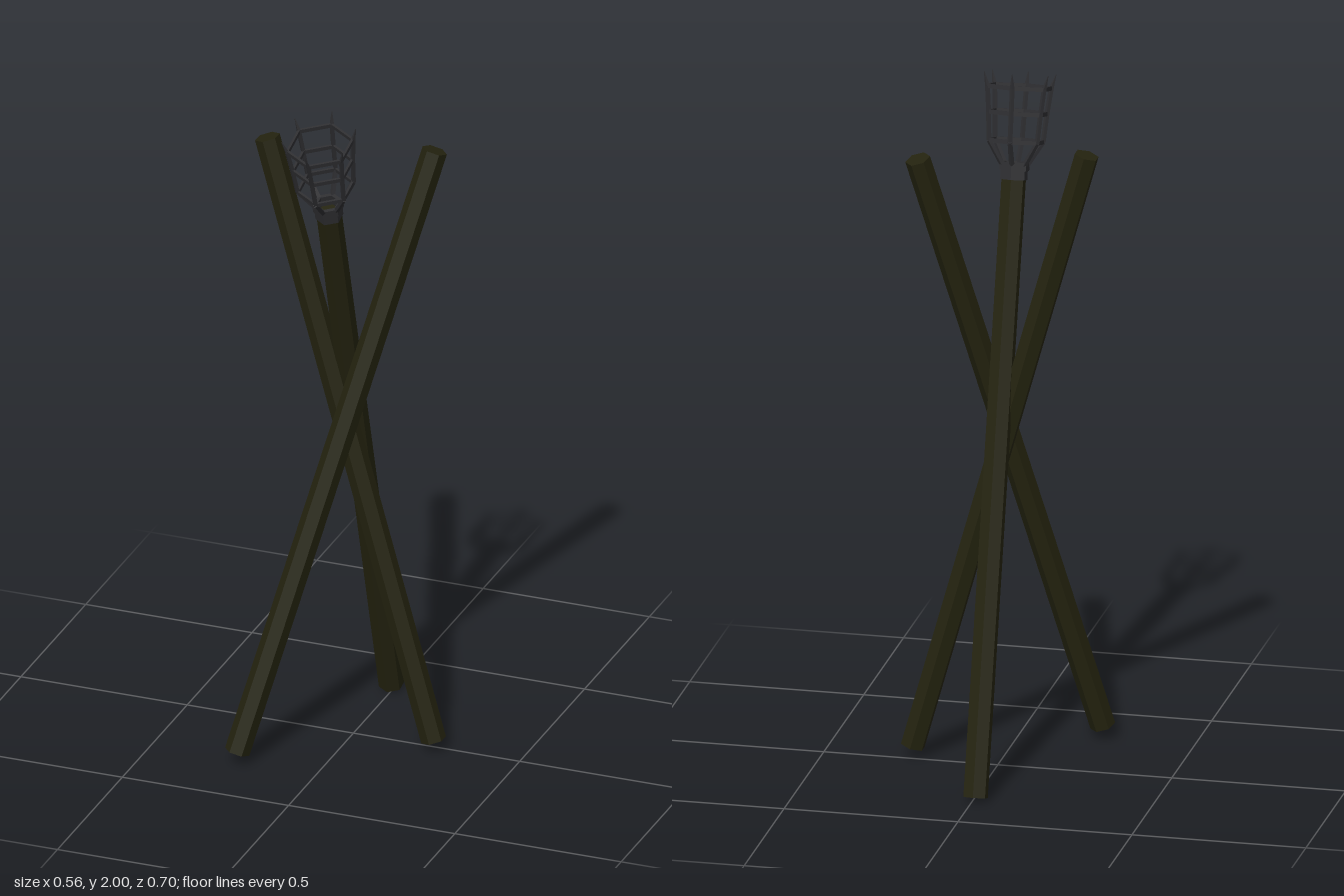
import * as THREE from 'three';

const wood = new THREE.MeshStandardMaterial({ color: 0x24230f, flatShading: true });
wood.name = 'dark wood';
const iron = new THREE.MeshStandardMaterial({ color: 0x2d2d30, flatShading: true });
iron.name = 'dark iron';

const UP = new THREE.Vector3(0, 1, 0);

// Straight prism from a to b; twist turns its cross-section about its own axis
function rod(name, a, b, ra, rb, sides, material, twist = 0) {
  const dir = b.clone().sub(a);
  const geo = new THREE.CylinderGeometry(rb, ra, dir.length(), sides);
  geo.rotateY(twist);
  const mesh = new THREE.Mesh(geo, material);
  mesh.name = name;
  mesh.position.copy(a).add(b).multiplyScalar(0.5);
  mesh.quaternion.setFromUnitVectors(UP, dir.normalize());
  return mesh;
}

// Point on a hexagon corner, in basket space
function corner(i, r, y) {
  const t = (i * Math.PI) / 3;
  return new THREE.Vector3(r * Math.sin(t), y, r * Math.cos(t));
}

// Hexagonal band with a rectangular section
function hexBand(name, r, thick, y0, y1) {
  const profile = [[r - thick, y0], [r, y0], [r, y1], [r - thick, y1], [r - thick, y0]];
  const geo = new THREE.LatheGeometry(profile.map(([x, y]) => new THREE.Vector2(x, y)), 6);
  const mesh = new THREE.Mesh(geo, iron);
  mesh.name = name;
  return mesh;
}

function createBasket() {
  const basket = new THREE.Group();
  basket.name = 'fireBasket';

  // Collar gripping the pole
  basket.add(hexBand('collarLower', 0.04, 0.01, -0.02, 0.006));
  basket.add(hexBand('collarUpper', 0.044, 0.013, 0.006, 0.03));

  // Six bent uprights ending in spikes
  const path = [[0.037, 0.022], [0.08, 0.088], [0.086, 0.168], [0.094, 0.24], [0.106, 0.28]];
  const radii = [0.008, 0.007, 0.007, 0.007, 0.001];
  for (let i = 0; i < 6; i++) {
    for (let k = 0; k < path.length - 1; k++) {
      basket.add(rod(k === 3 ? 'spike' : 'upright', corner(i, ...path[k]), corner(i, ...path[k + 1]),
        radii[k], radii[k + 1], 4, iron));
    }
  }

  // Three hoops
  for (const [r, y] of path.slice(1, 4)) {
    basket.add(hexBand('hoop', r + 0.003, 0.008, y - 0.006, y + 0.006));
  }
  return basket;
}

export function createModel() {
  const model = new THREE.Group();
  model.name = 'torchTripod';
  const v = (x, y, z) => new THREE.Vector3(x, y, z);
  const R = 0.036;

  // Three crossing hexagonal poles
  model.add(rod('sidePole', v(0.249, 0.032, 0.02), v(-0.251, 1.82, 0.02), R, R, 6, wood));
  model.add(rod('diagonalPole', v(-0.234, 0.035, 0.296), v(0.21, 1.81, -0.089), R, R, 6, wood,
    Math.atan2(0.385, 0.444)));
  const top = v(-0.008, 1.7, 0.17);
  model.add(rod('torchPole', v(-0.008, 0.01, -0.314), top, R, R, 6, wood));

  // Basket on the tip of the torch pole, sharing its lean
  const basket = createBasket();
  basket.position.copy(top);
  basket.rotation.x = Math.atan2(0.484, 1.69);
  model.add(basket);
  return model;
}
